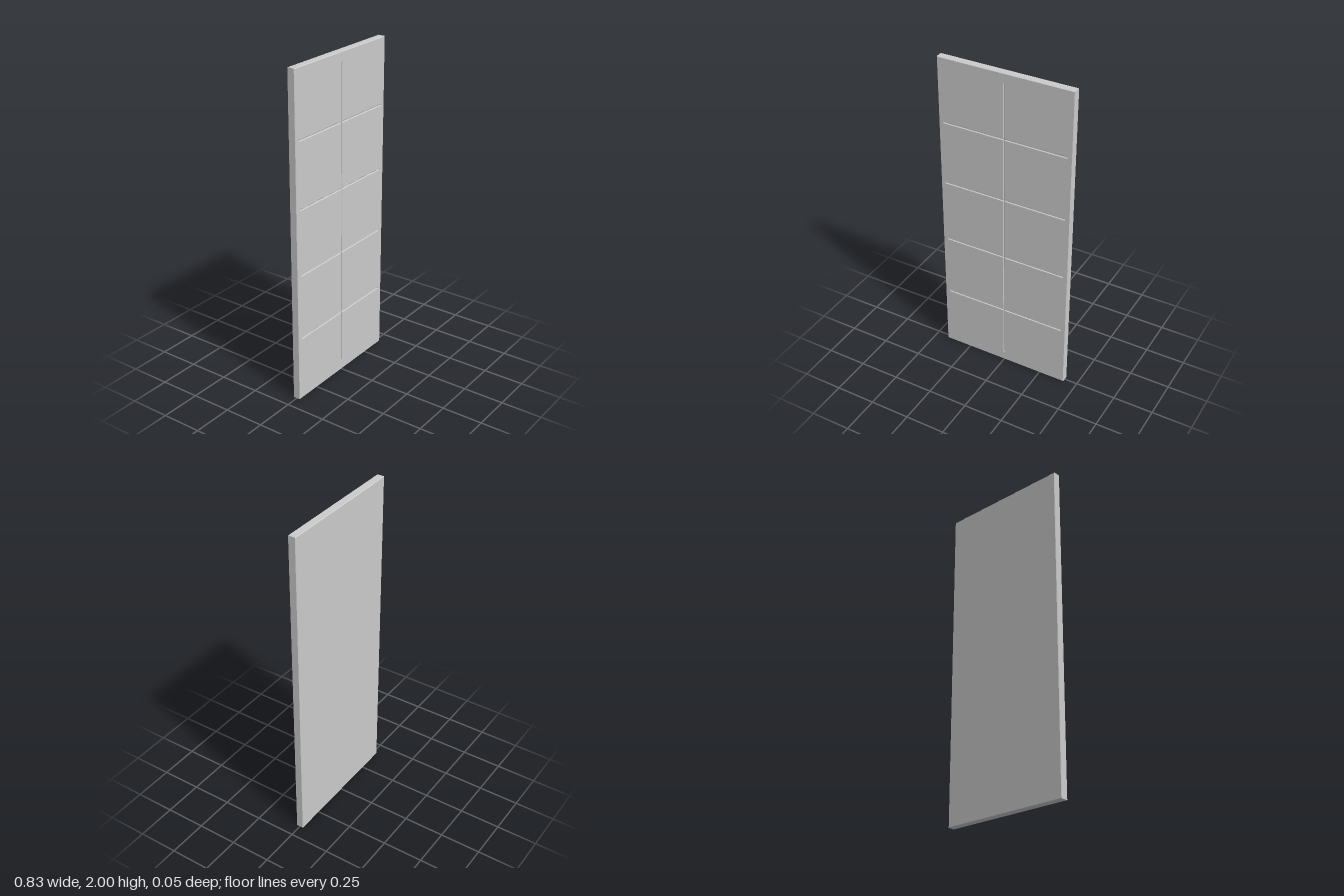
import * as THREE from 'three';

const HALF_W = 0.4175, HEIGHT = 2, HALF_D = 0.0235;
const BEVEL = 0.003;
const GROOVE = 0.006;            // half width of a groove at the surface
const GROOVE_DEPTH = 0.006;
const ROWS = [0.4, 0.8, 1.2, 1.6];
const ARM = 0.39, BOTTOM = 0.06, TOP = 1.945;

// Outline of the connected groove network: one upright with four crossbars
function groovePoints() {
  const right = [[GROOVE, BOTTOM]];
  for (const y of ROWS) {
    right.push([GROOVE, y - GROOVE], [ARM, y - GROOVE], [ARM, y + GROOVE], [GROOVE, y + GROOVE]);
  }
  right.push([GROOVE, TOP]);
  const left = right.map(([x, y]) => [-x, y]).reverse();
  return [...right, ...left].map(([x, y]) => new THREE.Vector2(x, y));
}

export function createModel() {
  const group = new THREE.Group();
  const material = new THREE.MeshStandardMaterial({ color: 0xcccccc, flatShading: true });
  const add = (name, geometry, z) => {
    const mesh = new THREE.Mesh(geometry, material);
    mesh.name = name;
    mesh.position.z = z;
    group.add(mesh);
  };

  // Door slab with chamfered rim and chamfered groove walls
  const w = HALF_W - BEVEL;
  const slab = new THREE.Shape([
    new THREE.Vector2(-w, BEVEL), new THREE.Vector2(w, BEVEL),
    new THREE.Vector2(w, HEIGHT - BEVEL), new THREE.Vector2(-w, HEIGHT - BEVEL),
  ]);
  slab.holes.push(new THREE.Path(groovePoints().reverse()));
  add('doorSlab', new THREE.ExtrudeGeometry(slab, {
    depth: 2 * (HALF_D - BEVEL), bevelEnabled: true, bevelSegments: 1,
    bevelSize: BEVEL, bevelThickness: BEVEL,
  }), -HALF_D + BEVEL);

  // Fill behind the grooves: flush at the back, recessed at the front
  add('grooveFloor', new THREE.ExtrudeGeometry(new THREE.Shape(groovePoints()), {
    depth: 2 * HALF_D - GROOVE_DEPTH, bevelEnabled: false,
  }), -HALF_D);

  return group;
}
